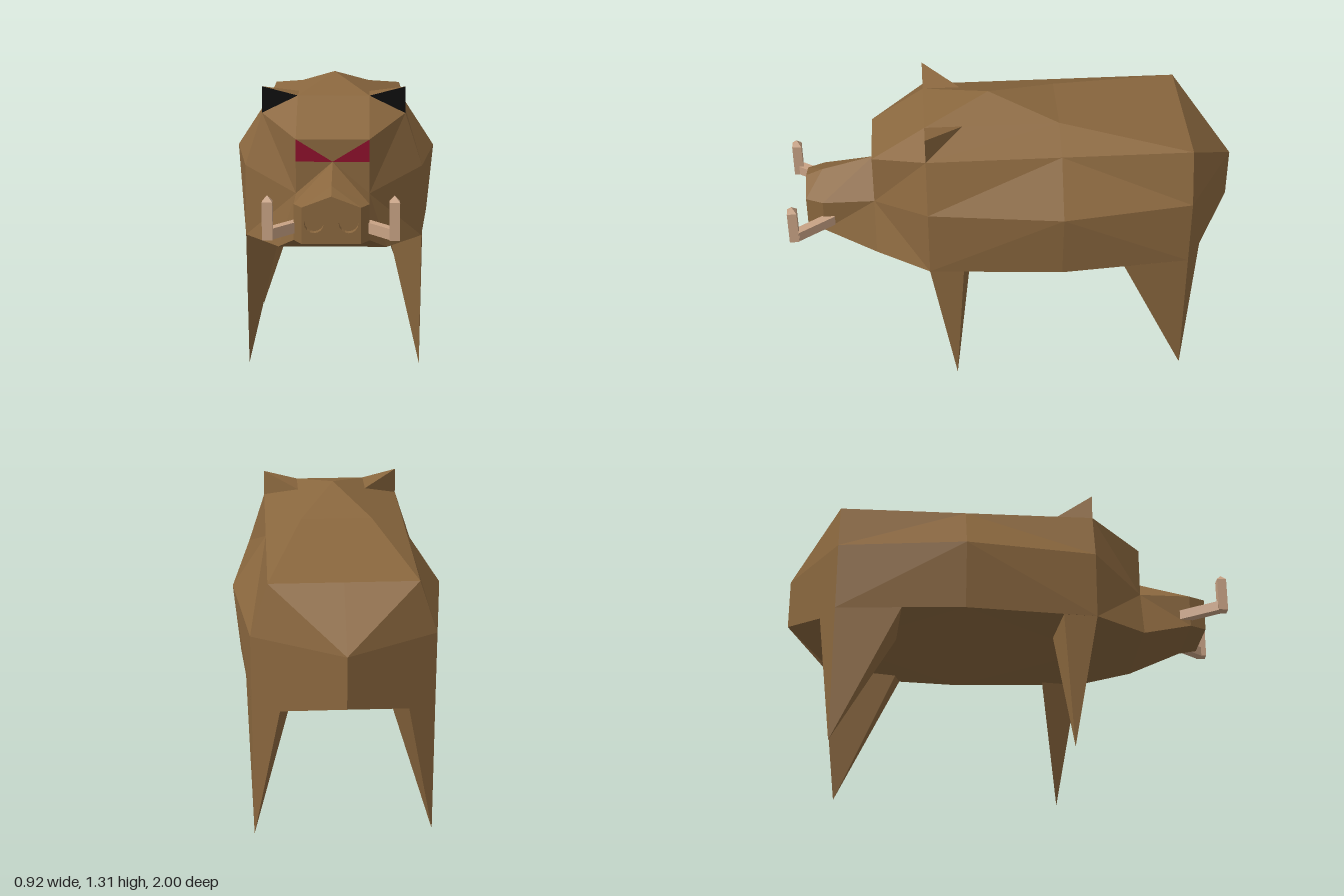
import * as THREE from 'three';

export function createModel() {
  const model = new THREE.Group();
  const material = (name, color) => {
    const m = new THREE.MeshStandardMaterial({ color, flatShading: true, side: THREE.DoubleSide });
    m.name = name;
    return m;
  };
  const hide = material('brown hide', 0x8a673e);
  const ivory = material('tusk ivory', 0xc8a284);
  const red = material('eye red', 0x8c0e2a);
  const black = material('ear black', 0x0a0a0a);

  const add = (name, geometry, mat, parent = model) => {
    const mesh = new THREE.Mesh(geometry, mat);
    mesh.name = name;
    parent.add(mesh);
    return mesh;
  };

  // Flat faces given for the left half, mirrored to the right half
  function mirrored(name, faces, mat) {
    const pos = [];
    for (const face of faces) {
      for (let i = 1; i < face.length - 1; i++) {
        const [a, b, c] = [face[0], face[i], face[i + 1]];
        for (const p of [a, b, c]) pos.push(...p);
        for (const p of [a, c, b]) pos.push(-p[0], p[1], p[2]);
      }
    }
    const g = new THREE.BufferGeometry();
    g.setAttribute('position', new THREE.Float32BufferAttribute(pos, 3));
    g.computeVertexNormals();
    return add(name, g, mat);
  }

  // Body: three cross-sections from shoulder to rump (crown, shoulder, flank, hem, belly)
  const rows = [
    [[0.155, 1.235, 0.385], [0.31, 1.16, 0.385], [0.385, 0.93, 0.385], [0.385, 0.62, 0.385], [0, 0.62, 0.385]],
    [[0.155, 1.235, -0.2], [0.31, 1.16, -0.2], [0.46, 0.93, -0.2], [0.43, 0.62, -0.2], [0, 0.51, -0.2]],
    [[0.31, 1.16, -0.77], [0.31, 1.16, -0.77], [0.385, 0.93, -0.77], [0.385, 0.62, -0.77], [0, 0.62, -0.77]],
  ];
  const [front, middle, rear] = rows;
  const body = [];
  for (let i = 0; i < 2; i++) {
    for (let j = 0; j < 4; j++) {
      const a = rows[i][j], b = rows[i + 1][j], c = rows[i + 1][j + 1], d = rows[i][j + 1];
      if (i === 0) body.push([a, d, b], [d, c, b]);
      else if (j === 0) body.push([a, d, c]);
      else body.push([a, d, c], [a, c, b]);
    }
  }
  // Humped back
  const hump = [0, 1.31, 0.1], crown = [0, 1.235, 0.385];
  const backMid = [0, 1.235, -0.2], backEnd = [0, 1.16, -0.77];
  body.push([crown, front[0], hump], [hump, front[0], middle[0]],
    [hump, middle[0], backMid], [backMid, middle[0], rear[0], backEnd]);
  // Pointed rump
  const rumpTop = [0, 0.93, -1], rumpLow = [0, 0.7, -1], haunch = [0.268, 0.62, -0.84];
  body.push([backEnd, rear[1], rumpTop], [rear[1], rear[2], rumpTop],
    [rumpTop, rear[2], rear[3], haunch, rumpLow], [rumpLow, haunch, rear[3], rear[4]]);
  mirrored('body', body, hide);

  // Head and face
  const brow = [0.155, 1.08, 0.62], cheek = [0.155, 0.85, 0.62], jaw = [0.23, 0.62, 0.62];
  const browMid = [0, 1.08, 0.62], bridge = [0, 0.985, 0.62], eyeCorner = [0.155, 0.985, 0.62];
  const [top, shoulder, flank, hem, belly] = front;
  mirrored('head', [
    [crown, browMid, brow, top], [top, brow, shoulder],
    [shoulder, brow, cheek], [shoulder, cheek, flank], [flank, cheek, hem], [hem, cheek, jaw],
    [belly, hem, jaw, [0, 0.62, 0.62]],
    [browMid, bridge, brow], [bridge, cheek, eyeCorner],
  ], hide);
  mirrored('eyes', [[brow, bridge, eyeCorner]], red);

  // Snout
  const noseTop = [0, 0.925, 0.85], noseSide = [0.155, 0.85, 0.85], noseLow = [0.155, 0.7, 0.85];
  const tipTop = [0, 0.895, 0.925], tipSide = [0.12, 0.85, 0.925], tipLow = [0.12, 0.7, 0.925];
  mirrored('snout', [
    [bridge, noseTop, noseSide, cheek], [noseTop, tipTop, tipSide, noseSide],
    [cheek, noseSide, noseLow, jaw], [noseSide, tipSide, tipLow, noseLow],
    [jaw, noseLow, [0, 0.7, 0.85], [0, 0.62, 0.62]],
    [noseLow, tipLow, [0, 0.7, 0.925], [0, 0.7, 0.85]],
  ], hide);

  // Nose plate with two sunken nostrils
  const plate = new THREE.Shape([[-0.12, 0.7], [0.12, 0.7], [0.12, 0.85], [0, 0.895], [-0.12, 0.85]]
    .map(([x, y]) => new THREE.Vector2(x, y)));
  for (const s of [-1, 1]) {
    plate.holes.push(new THREE.Path().absarc(0.07 * s, 0.785, 0.04, 0, Math.PI * 2, true));
    const wall = new THREE.CylinderGeometry(0.04, 0.04, 0.04, 16, 1, true).rotateX(Math.PI / 2);
    add('nostrilWall', wall, hide).position.set(0.07 * s, 0.785, 0.905);
    add('nostrilFloor', new THREE.CircleGeometry(0.04, 16), hide).position.set(0.07 * s, 0.785, 0.885);
  }
  add('nosePlate', new THREE.ShapeGeometry(plate, 8), hide).position.z = 0.925;

  // Ears: black inside, brown behind
  const earTip = [0.31, 1.275, 0.385], earBack = [0.155, 1.235, 0.22];
  mirrored('earInsides', [[shoulder, earTip, top]], black);
  mirrored('earBacks', [[earTip, shoulder, earBack], [earTip, earBack, top]], hide);

  // Spiked legs
  const leg = (name, tip, ring) =>
    mirrored(name, ring.map((p, i) => [p, tip, ring[(i + 1) % ring.length]]), hide);
  leg('frontLegs', [0.385, 0, 0.275], [[0.25, 0.57, 0.2], hem, [0.395, 0.62, 0.235]]);
  leg('rearLegs', [0.385, 0, -0.77], [haunch, [0.2, 0.56, -0.5], [0.408, 0.62, -0.48], rear[3]]);

  // Tusks: slanted bar, upright post, pointed end
  for (const s of [-1, 1]) {
    const tusk = new THREE.Group();
    tusk.name = s > 0 ? 'leftTusk' : 'rightTusk';
    model.add(tusk);
    const bar = add('tuskBar', new THREE.BoxGeometry(0.04, 0.045, 0.19), ivory, tusk);
    bar.position.set(0.197 * s, 0.752, 0.89);
    bar.rotation.y = s * Math.atan2(0.105, 0.15);
    add('tuskPost', new THREE.BoxGeometry(0.042, 0.155, 0.042), ivory, tusk)
      .position.set(0.254 * s, 0.8075, 0.979);
    const point = new THREE.ConeGeometry(0.0297, 0.026, 4).rotateY(Math.PI / 4);
    add('tuskPoint', point, ivory, tusk).position.set(0.254 * s, 0.898, 0.979);
  }
  return model;
}
